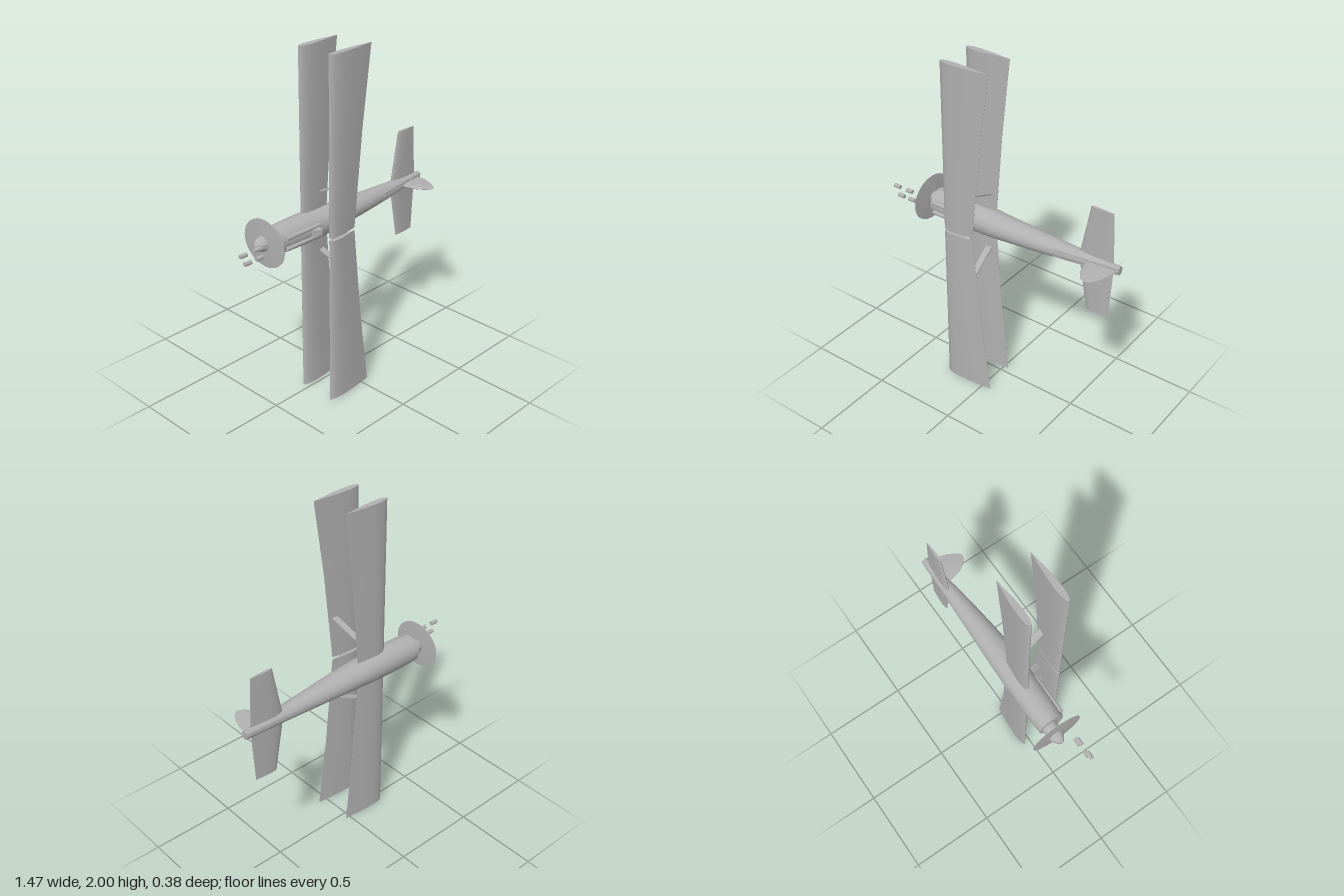
import * as THREE from 'three';
import { toCreasedNormals } from 'three/addons/utils/BufferGeometryUtils.js';

const grey = new THREE.MeshStandardMaterial({ color: 0xb0b0b0 });
grey.name = 'plain grey';

// Skin a list of equal-length rings of [x, y, z], close both ends, face outward
function loft(rings, crease = 0.7) {
  const n = rings[0].length, pos = rings.flat(2), idx = [];
  for (let r = 0; r < rings.length - 1; r++) {
    for (let i = 0; i < n; i++) {
      const a = r * n + i, b = r * n + (i + 1) % n;
      idx.push(a, b, b + n, a, b + n, a + n);
    }
  }
  const last = (rings.length - 1) * n;
  for (let i = 1; i < n - 1; i++) {
    idx.push(0, i + 1, i, last, last + i, last + i + 1);
  }
  // the sign of the enclosed volume tells whether the corners run outward
  const v = i => new THREE.Vector3().fromArray(pos, i * 3);
  let volume = 0;
  for (let i = 0; i < idx.length; i += 3) {
    volume += v(idx[i]).dot(v(idx[i + 1]).cross(v(idx[i + 2])));
  }
  if (volume < 0) idx.reverse();
  const geo = new THREE.BufferGeometry();
  geo.setAttribute('position', new THREE.Float32BufferAttribute(pos, 3));
  geo.setIndex(idx);
  return toCreasedNormals(geo, crease);
}

// Airfoil outline: chord from x0 to x1 at height y, thickness along z
const FOIL = [[0, 0], [0.03, 0.45], [0.12, 0.85], [0.3, 1], [0.55, 0.8], [0.8, 0.4], [1, 0.04]];
function foil(x0, x1, y, z, up, down) {
  const at = (u, t) => [x0 + (x1 - x0) * u, y, z + t];
  return [
    ...FOIL.map(([u, t]) => at(u, t * up)),
    ...FOIL.slice(1).reverse().map(([u, t]) => at(u, -t * down)),
  ];
}

export function createModel() {
  const model = new THREE.Group();
  model.name = 'biplane';
  const add = (name, geo, x = 0, y = 0, z = 0) => {
    const mesh = new THREE.Mesh(geo, grey);
    mesh.name = name;
    mesh.position.set(x, y, z);
    model.add(mesh);
    return mesh;
  };

  // Fuselage, nose toward -x: [x, half width in y, z of belly, z of back]
  const stations = [
    [-0.46, 0.078, -0.108, 0.046], [-0.4, 0.082, -0.111, 0.05], [-0.25, 0.086, -0.111, 0.055],
    [-0.1, 0.079, -0.109, 0.057], [0, 0.071, -0.105, 0.055], [0.2, 0.058, -0.096, 0.038],
    [0.45, 0.042, -0.085, 0.01], [0.73, 0.026, -0.074, -0.034],
  ];
  add('fuselage', loft(stations.map(([x, w, lo, hi]) =>
    Array.from({ length: 32 }, (_, i) => {
      const a = i / 32 * Math.PI * 2;
      return [x, 1 + w * Math.cos(a), (lo + hi) / 2 + (hi - lo) / 2 * Math.sin(a)];
    }))));

  // Spinner, hub and propeller disc, turned around the x axis
  const lathe = (name, pts, x, z) => {
    const geo = new THREE.LatheGeometry(pts.map(p => new THREE.Vector2(...p)), 36);
    geo.rotateZ(Math.PI / 2); // profile height now points to -x
    return add(name, toCreasedNormals(geo, 0.7), x, 1, z);
  };
  lathe('spinner', [[0.044, 0], [0.041, 0.02], [0.031, 0.042], [0.015, 0.06], [0, 0.066]], -0.512, -0.046);
  lathe('hub', [[0.047, 0], [0.045, 0.03], [0.034, 0.06]], -0.455, -0.046);
  const disc = lathe('propellerDisc',
    [[0, -0.007], [0.07, -0.005], [0.153, -0.001], [0.153, 0.001], [0.07, 0.005], [0, 0.007]], -0.515, -0.037);
  disc.scale.y = 0.88;
  disc.position.y = 1.004;

  // Wings: straight leading edge, trailing edge spreading toward the tips
  const wing = (name, z, side, rootX, midX, tipX) => add(name, loft([
    foil(-0.25, rootX, 1 + side * 0.008, z, 0.018, 0.015),
    foil(-0.25, midX, 1 + side * 0.55, z, 0.019, 0.017),
    foil(-0.25, tipX, 1 + side, z, 0.02, 0.018),
  ]));

  for (const side of [1, -1]) {
    const label = side > 0 ? 'Upper' : 'Lower';
    wing('topWing' + label, 0.174, side, -0.06, -0.006, 0.055);
    wing('bottomWing' + label, -0.039, side, -0.06, -0.02, 0.027);

    // Slanted strut between the two wings
    const strutRing = (x, y, z) => [[-0.018, -0.004], [0.018, -0.004], [0.018, 0.004], [-0.018, 0.004]]
      .map(([dx, dy]) => [x + dx, y + dy, z]);
    add('wingStrut' + label, loft([
      strutRing(-0.105, 1 + side * 0.173, -0.035),
      strutRing(-0.076, 1 + side * 0.266, 0.17),
    ]));

    // Tailplane half
    add('tailplane' + label, loft([
      foil(0.48, 0.692, 1 + side * 0.01, -0.052, 0.013, 0.013),
      foil(0.538, 0.675, 1 + side * 0.326, -0.052, 0.008, 0.008),
    ]));

    // Machine gun in front of the cockpit
    const gun = new THREE.CylinderGeometry(0.012, 0.012, 0.24, 16);
    gun.rotateZ(Math.PI / 2);
    add('gun' + label, gun, -0.318, 1 + side * 0.03, 0.048);

    // Ridge along the rear deck
    const ridge = (x, y, z, r) => [[-r, -r], [r, -r], [r, r], [-r, r]]
      .map(([dy, dz]) => [x, y + dy, z + dz]);
    add('tailRidge' + label, loft([
      ridge(0.36, 1 + side * 0.02, 0.014, 0.004),
      ridge(0.733, 1 + side * 0.014, -0.038, 0.004),
    ]));
  }

  // Rounded rudder, tapering in thickness toward its tip: [z, x0, x1, half thickness]
  add('rudder', loft([
    [-0.06, 0.54, 0.715, 0.011], [0.015, 0.548, 0.711, 0.009], [0.08, 0.568, 0.688, 0.007],
    [0.122, 0.598, 0.663, 0.004], [0.138, 0.628, 0.645, 0.002],
  ].map(([z, x0, x1, t]) => foil(x0, x1, 0, 0, t, t).map(([x, , d]) => [x, 1 + d, z]))));

  // Windshield wedge
  add('windshield', loft([
    [[-0.262, 0.97, 0.04], [-0.262, 1.03, 0.04], [-0.26, 1.018, 0.056], [-0.26, 0.982, 0.056]],
    [[-0.208, 0.96, 0.0], [-0.208, 1.04, 0.0], [-0.208, 1.018, 0.082], [-0.208, 0.982, 0.082]],
  ]));

  // Shots in flight ahead of the nose
  for (const [x, y] of [[-0.718, 1.031], [-0.628, 1.031], [-0.69, 0.978], [-0.612, 0.978]]) {
    const shot = new THREE.CylinderGeometry(0.012, 0.012, 0.043, 14);
    shot.rotateZ(Math.PI / 2);
    add('shot', shot, x, y, 0.03);
  }
  return model;
}
